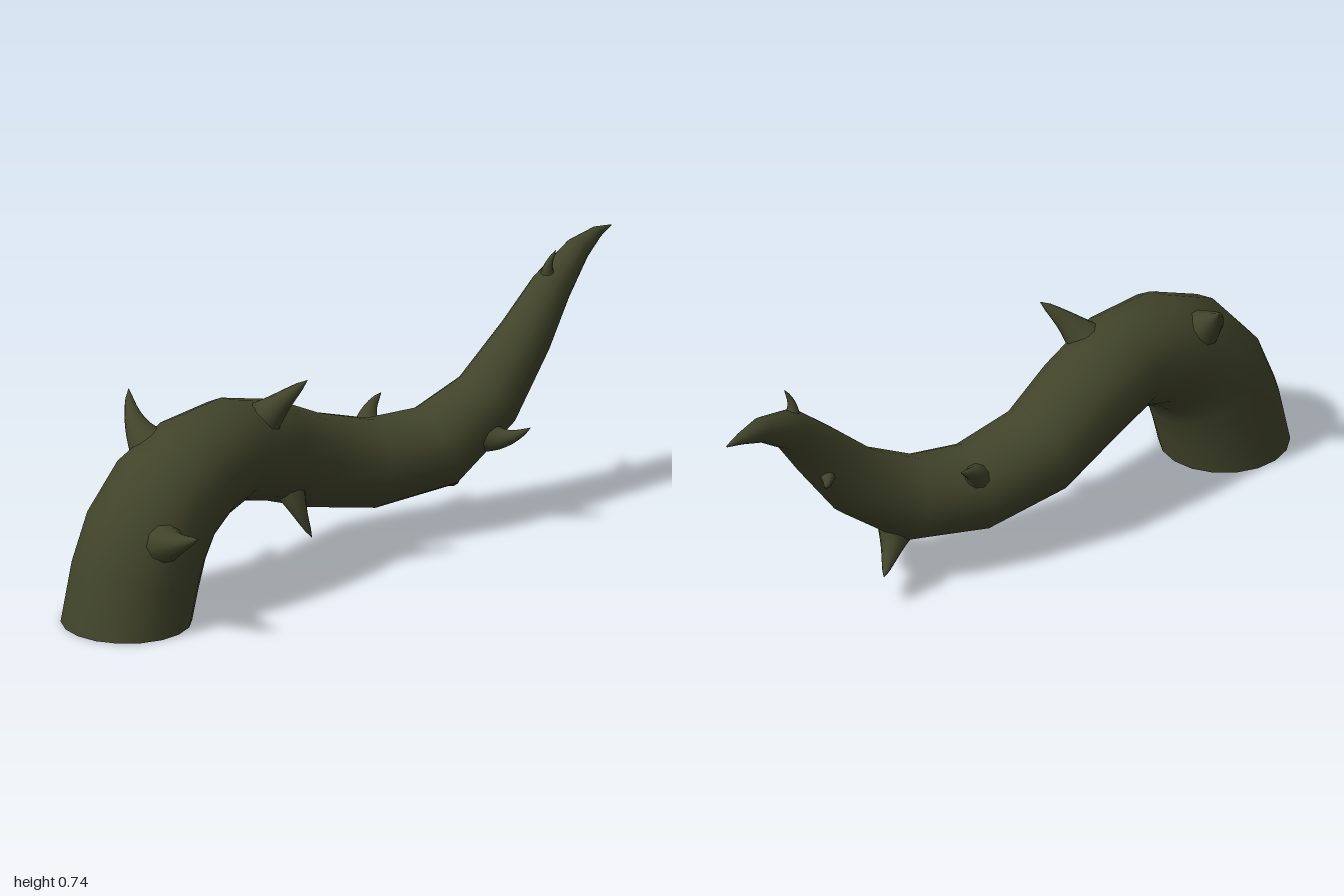
import * as THREE from 'three';

const material = new THREE.MeshStandardMaterial({ color: 0x41442a });

// Round skin through a chain of centres, with one radius per centre and a closed start
function loft(centres, radii, sides, firstTangent) {
  const pos = [], index = [];
  const side = new THREE.Vector3(), tangent = new THREE.Vector3(), up = new THREE.Vector3();
  centres.forEach((c, i) => {
    const a = centres[Math.max(i - 1, 0)], b = centres[Math.min(i + 1, centres.length - 1)];
    tangent.subVectors(b, a).normalize();
    if (i === 0) {
      if (firstTangent) tangent.copy(firstTangent);
      side.set(0, 0, 1);
      if (Math.abs(tangent.z) > 0.8) side.set(1, 0, 0);
    }
    // carry the previous side direction along so the rings do not twist
    side.addScaledVector(tangent, -side.dot(tangent)).normalize();
    up.crossVectors(tangent, side);
    for (let k = 0; k < sides; k++) {
      const t = (k / sides) * Math.PI * 2;
      const p = c.clone()
        .addScaledVector(side, Math.cos(t) * radii[i])
        .addScaledVector(up, Math.sin(t) * radii[i]);
      pos.push(p.x, p.y, p.z);
    }
  });
  for (let i = 0; i < centres.length - 1; i++) {
    for (let k = 0; k < sides; k++) {
      const a = i * sides + k, b = i * sides + (k + 1) % sides;
      index.push(a, b, a + sides, b, b + sides, a + sides);
    }
  }
  // flat start cap with its own vertices
  const start = pos.length / 3;
  pos.push(...pos.slice(0, sides * 3));
  for (let k = 1; k < sides - 1; k++) index.push(start, start + k + 1, start + k);
  const geo = new THREE.BufferGeometry();
  geo.setAttribute('position', new THREE.Float32BufferAttribute(pos, 3));
  geo.setIndex(index);
  geo.computeVertexNormals();
  return geo;
}

// Stem stations: x, y, z, radius
const stations = [
  [-0.815, 0, 0.01, 0.185],
  [-0.785, 0.13, 0.008, 0.183],
  [-0.745, 0.24, 0.004, 0.18],
  [-0.675, 0.335, -0.004, 0.172],
  [-0.565, 0.395, -0.025, 0.16],
  [-0.43, 0.412, -0.06, 0.147],
  [-0.27, 0.36, -0.115, 0.143],
  [-0.1, 0.28, -0.165, 0.135],
  [0.11, 0.226, -0.165, 0.127],
  [0.31, 0.242, -0.145, 0.122],
  [0.48, 0.35, -0.14, 0.1],
  [0.62, 0.505, -0.16, 0.077],
  [0.725, 0.62, -0.19, 0.058],
  [0.85, 0.688, -0.25, 0.036],
  [0.94, 0.708, -0.29, 0.017],
  [1, 0.71, -0.31, 0.002],
];

// Thorns: base point, tip point, base radius
const thorns = [
  [[-0.78, 0.27, 0.15], [-0.775, 0.335, 0.32], 0.068],
  [[-0.675, 0.47, -0.11], [-0.655, 0.585, -0.23], 0.06],
  [[-0.35, 0.48, -0.03], [-0.235, 0.613, 0.045], 0.072],
  [[-0.23, 0.25, -0.05], [-0.195, 0.12, 0.005], 0.05],
  [[0.14, 0.3, -0.235], [0.225, 0.372, -0.293], 0.05],
  [[0.44, 0.27, -0.06], [0.51, 0.315, 0.04], 0.05],
  [[0.36, 0.16, -0.165], [0.45, 0.078, -0.25], 0.06],
  [[0.605, 0.45, -0.2], [0.665, 0.457, -0.287], 0.034],
  [[0.712, 0.65, -0.188], [0.727, 0.737, -0.168], 0.03],
];

// Curved thorn that grows straight out of the stem, then hooks over to its tip
function thornGeometry([base, tip, radius], path) {
  const b = new THREE.Vector3(...base), t = new THREE.Vector3(...tip);
  const near = path.reduce((m, p) => (p.distanceTo(b) < m.distanceTo(b) ? p : m));
  const out = b.clone().sub(near).normalize();
  const length = b.distanceTo(t);
  const bend = b.clone().addScaledVector(out, length * 0.45).lerp(b.clone().lerp(t, 0.5), 0.25);
  const curve = new THREE.QuadraticBezierCurve3(b.addScaledVector(out, -0.01), bend, t);
  const profile = [1, 0.82, 0.66, 0.52, 0.4, 0.29, 0.18, 0.01];
  return loft(curve.getPoints(profile.length - 1), profile.map((r) => r * radius), 10);
}

export function createModel() {
  const group = new THREE.Group();
  group.name = 'thornyVine';

  const centres = stations.map((s) => new THREE.Vector3(s[0], s[1], s[2]));
  const stem = new THREE.Mesh(
    loft(centres, stations.map((s) => s[3]), 18, new THREE.Vector3(0, 1, 0)), material);
  stem.name = 'stem';
  group.add(stem);

  const path = new THREE.CatmullRomCurve3(centres).getPoints(200);
  thorns.forEach((spec, i) => {
    const thorn = new THREE.Mesh(thornGeometry(spec, path), material);
    thorn.name = `thorn${i + 1}`;
    group.add(thorn);
  });
  return group;
}
